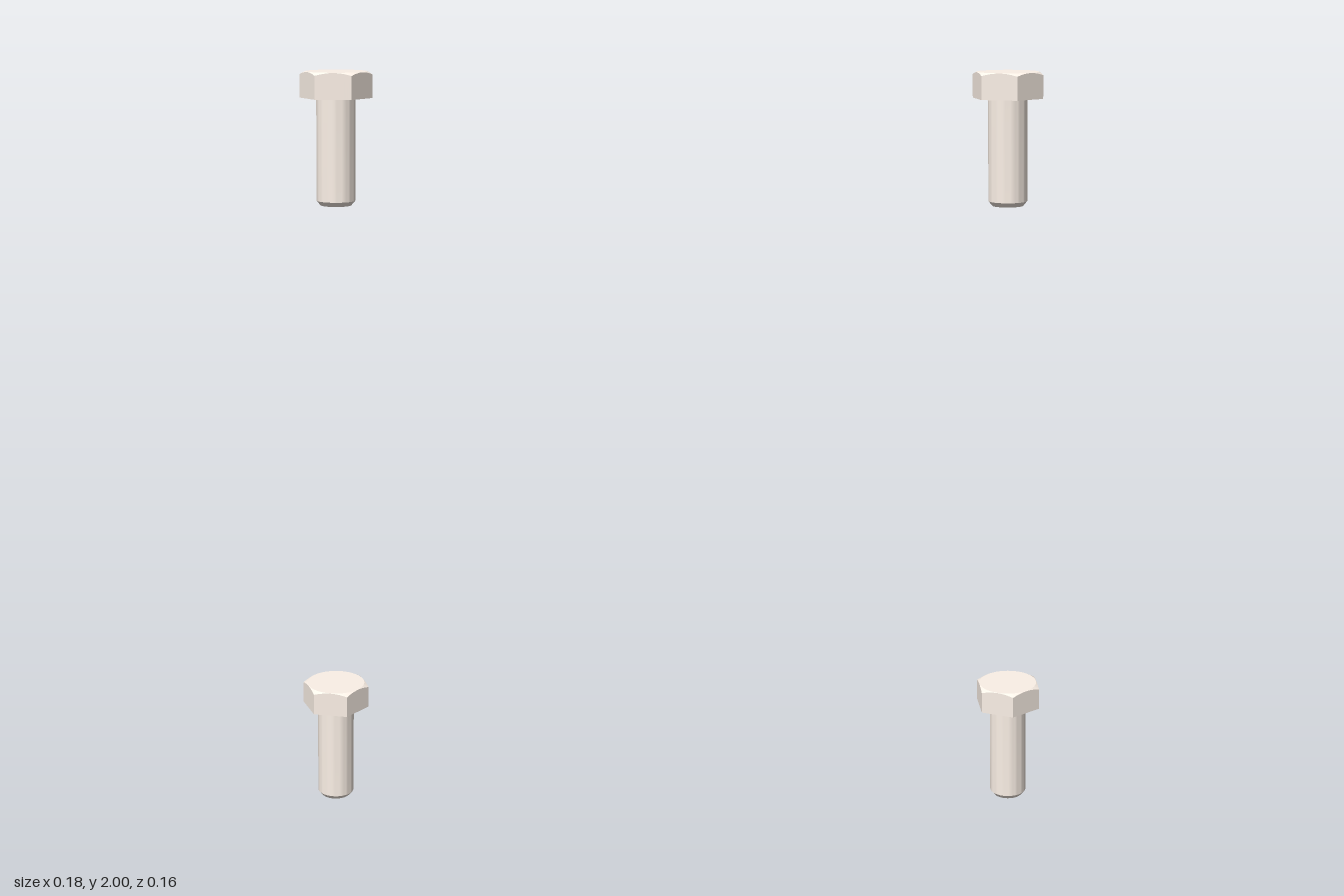
import * as THREE from 'three';
import { toCreasedNormals } from 'three/addons/utils/BufferGeometryUtils.js';

const APOTHEM = 0.08;     // half the width across the head's flats
const HEAD_BASE = 0.271;
const HEIGHT = 0.337;
const SHANK_R = 0.05;

const material = new THREE.MeshStandardMaterial({ color: 0xfcf1e7 });

function lathe(points, segments) {
  return new THREE.LatheGeometry(points.map(([r, y]) => new THREE.Vector2(r, y)), segments);
}

// Hexagonal head: a turned disc pushed out to six flats, its corners cut by a 30 degree cone
function headGeometry() {
  const flatR = APOTHEM - 0.001;
  const geo = lathe([[0, HEAD_BASE], [1, HEAD_BASE], [1, HEIGHT], [flatR, HEIGHT], [0, HEIGHT]], 96);
  const pos = geo.attributes.position;
  for (let i = 0; i < pos.count; i++) {
    const x = pos.getX(i), z = pos.getZ(i);
    if (Math.hypot(x, z) < 0.5) continue;
    const sector = Math.PI / 3;
    const angle = Math.atan2(x, z);                       // flats face +z, corners lie on x
    const r = APOTHEM / Math.cos(angle - Math.round(angle / sector) * sector);
    pos.setX(i, Math.sin(angle) * r);
    pos.setZ(i, Math.cos(angle) * r);
    if (pos.getY(i) > HEAD_BASE + 0.01) pos.setY(i, HEIGHT - (r - flatR) * Math.tan(Math.PI / 6));
  }
  return toCreasedNormals(geo, 0.4);
}

// Round shank with a chamfered tip
function shankGeometry() {
  const geo = lathe([[0, 0], [0.04, 0], [SHANK_R, 0.012], [SHANK_R, HEAD_BASE]], 48);
  return toCreasedNormals(geo, 0.4);
}

export function createModel() {
  const model = new THREE.Group();
  model.name = 'boltPair';
  const head = headGeometry();
  const shank = shankGeometry();

  // Two identical bolts, one high above the other, turned slightly opposite ways
  const bolts = [
    { name: 'lowerBolt', y: 0, turn: -0.05 },
    { name: 'upperBolt', y: 2 - HEIGHT, turn: 0.05 },
  ];
  for (const { name, y, turn } of bolts) {
    const bolt = new THREE.Group();
    bolt.name = name;
    for (const [part, geo] of [['hexHead', head], ['shank', shank]]) {
      const mesh = new THREE.Mesh(geo, material);
      mesh.name = part;
      bolt.add(mesh);
    }
    bolt.position.y = y;
    bolt.rotation.y = turn;
    model.add(bolt);
  }
  return model;
}
